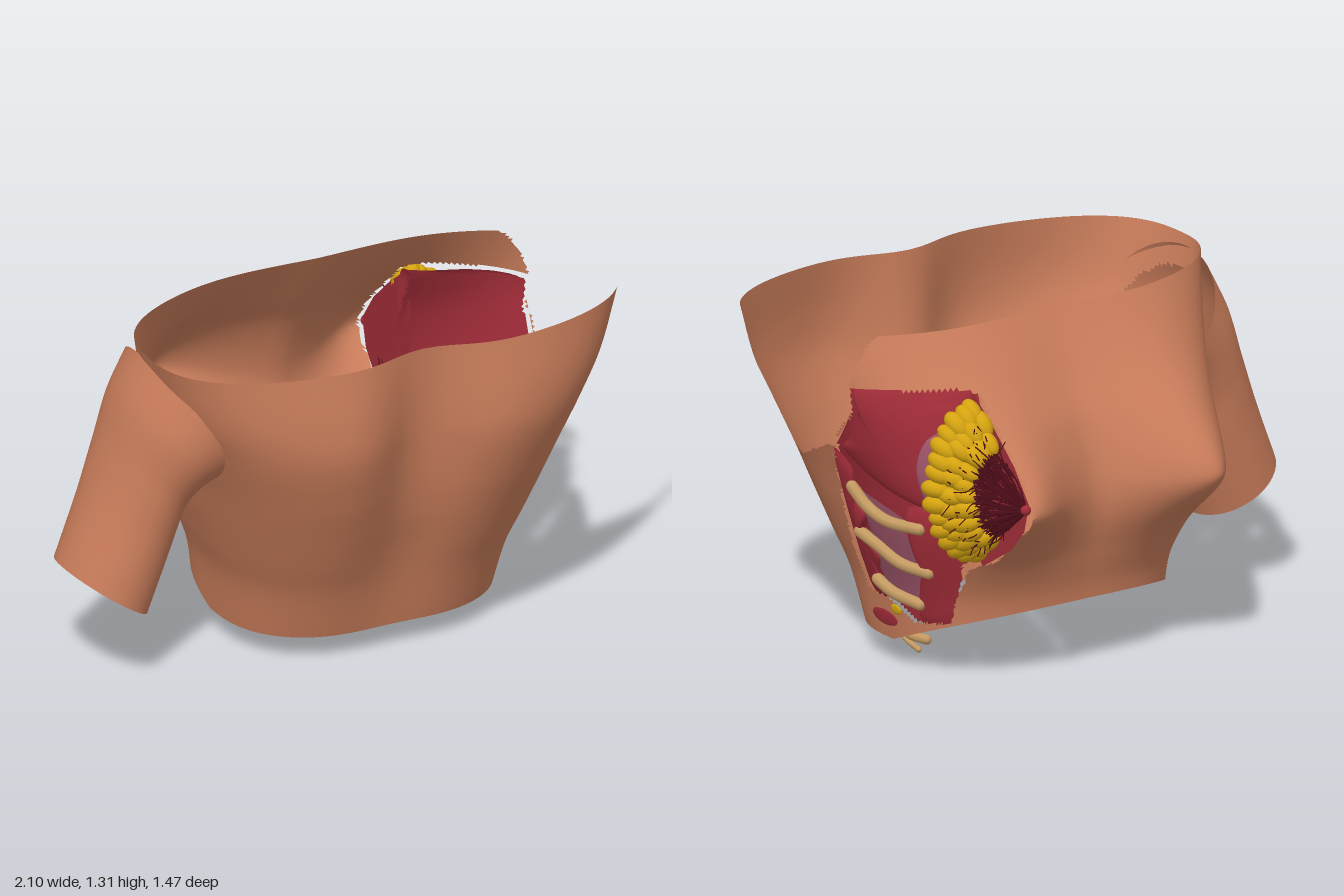
import * as THREE from 'three';
import { mergeGeometries } from 'three/addons/utils/BufferGeometryUtils.js';

const mat = (name, color, side = THREE.FrontSide) => {
  const m = new THREE.MeshStandardMaterial({ color, side });
  m.name = name;
  return m;
};
const V = (x, y, z) => new THREE.Vector3(x, y, z);
const MID = 0.22, TOP = 1.315, N = 2.6;

// Torso levels: y, half width, back z, front z, spine groove depth
const LEVELS = [
  [0.10, 0.54, 0.41, -0.46, 0.02], [0.30, 0.57, 0.49, -0.47, 0.05], [0.45, 0.62, 0.565, -0.50, 0.08],
  [0.60, 0.67, 0.635, -0.52, 0.10], [0.75, 0.715, 0.70, -0.50, 0.13], [0.95, 0.79, 0.76, -0.43, 0.16],
  [1.10, 0.86, 0.755, -0.34, 0.14], [1.32, 0.93, 0.71, -0.21, 0.08],
];

// Smooth lookup of one column at height y
function level(y, c) {
  let i = 0;
  while (i < LEVELS.length - 2 && y > LEVELS[i + 1][0]) i++;
  const L = LEVELS, n = L.length - 1;
  const slope = (k) => {
    const a = L[Math.max(k - 1, 0)], b = L[Math.min(k + 1, n)];
    return (b[c] - a[c]) / (b[0] - a[0]);
  };
  const h = L[i + 1][0] - L[i][0], t = (y - L[i][0]) / h, t2 = t * t, t3 = t2 * t;
  return L[i][c] * (2 * t3 - 3 * t2 + 1) + slope(i) * h * (t3 - 2 * t2 + t)
    + L[i + 1][c] * (3 * t2 - 2 * t3) + slope(i + 1) * h * (t3 - t2);
}

// Point on the torso wall: angle a (0 = back, toward +x), height fraction t
function torsoPoint(a, t, chest, scale) {
  const pw = (v) => Math.sign(v) * Math.pow(Math.abs(v), 2 / N);
  const c = pw(Math.cos(a)), s = pw(Math.sin(a));
  const yLow = 0.1 + 0.17 * Math.max(0, -c), y = yLow + (TOP - yLow) * t;
  const zb = level(y, 2), zf = level(y, 3), d = (zb - zf) / 2;
  const u = level(y, 1) * s * scale;
  let z = (zb + zf) / 2 + d * c * scale;
  if (c > 0) z -= level(y, 4) * Math.exp(-((u / 0.2) ** 2)) * c;
  else if (chest) {
    const dy = y - 0.74, r = Math.hypot(Math.abs(Math.abs(u) - 0.42) / 0.25, dy / (dy > 0 ? 0.33 : 0.2));
    z -= 0.3 * Math.exp(-Math.pow(r, 1.6)) * THREE.MathUtils.smoothstep(-c, 0, 0.7);
  }
  return V(MID + u, y, z);
}

// x of the +x side wall
function sideX(z, y) {
  const zb = level(y, 2), zf = level(y, 3), q = Math.abs(z - (zb + zf) / 2) / ((zb - zf) / 2);
  return Math.max(0.66, MID + level(y, 1) * Math.pow(Math.max(0, 1 - q ** N), 1 / N));
}

function inside(poly, z, y) {
  let hit = false;
  for (let i = 0, j = poly.length - 1; i < poly.length; j = i++) {
    const [a, b] = poly[i], [c, d] = poly[j];
    if ((b > y) !== (d > y) && z < (c - a) * (y - b) / (d - b) + a) hit = !hit;
  }
  return hit;
}

// Outlines in (z, y): open shoulder and dissected side
const SHOULDER = [[0.46, 1.4], [0.48, 1.1], [0.46, 0.85], [0.4, 0.76], [0.33, 0.75], [0.05, 0.87],
  [-0.1, 1.03], [-0.1, 1.13], [-0.14, 1.4]];
const WINDOW = [[0.05, 0.87], [-0.1, 1.02], [-0.1, 1.13], [-0.36, 1.13], [-0.5, 1.04], [-0.8, 0.9], [-0.8, 0.6],
  [-0.62, 0.55], [-0.42, 0.46], [-0.33, 0.32], [-0.3, 0.22], [-0.15, 0.2], [-0.05, 0.26], [0.1, 0.27],
  [0.13, 0.4], [0.1, 0.64], [0.07, 0.8]];

function region(p) {
  if (p.x < MID) return p.x < -0.2 && ((p.z - 0.17) / 0.26) ** 2 + ((p.y - 1.0) / 0.2) ** 2 < 1 ? 'gap' : 'skin';
  if (p.x > 0.6 && inside(SHOULDER, p.z, p.y)) return 'gap';
  return p.x > 0.64 && inside(WINDOW, p.z, p.y) ? 'bed' : 'skin';
}

// Torso wall holding only the faces of one region
function torsoWall(kind) {
  const A = 220, R = 84, pos = [], test = [], idx = [];
  for (let j = 0; j <= R; j++) for (let i = 0; i < A; i++) {
    const a = (i / A) * Math.PI * 2;
    test.push(torsoPoint(a, j / R, true, 1));
    const p = kind === 'skin' ? test[test.length - 1] : torsoPoint(a, j / R, false, 0.965);
    pos.push(p.x, p.y, p.z);
  }
  for (let j = 0; j < R; j++) for (let i = 0; i < A; i++) {
    const k = (i + 1) % A, a = j * A + i, b = j * A + k, c = a + A, d = b + A;
    for (const f of [[a, b, d], [a, d, c]]) {
      const m = V(0, 0, 0);
      f.forEach((v) => m.addScaledVector(test[v], 1 / 3));
      if (region(m) === kind) idx.push(...f);
    }
  }
  return surface(pos, idx);
}

function surface(pos, idx) {
  const g = new THREE.BufferGeometry();
  g.setAttribute('position', new THREE.Float32BufferAttribute(pos, 3));
  g.setIndex(idx);
  g.computeVertexNormals();
  return g;
}

// Open sleeve of the upper arm: matching outer and inner edge points
function armGeometry() {
  const outer = new THREE.CatmullRomCurve3([V(-1, 0.48, 0), V(-0.9, 0.73, 0), V(-0.83, 0.93, 0), V(-0.77, 1.12, 0), V(-0.69, 1.28, 0)]);
  const inner = new THREE.CatmullRomCurve3([V(-0.69, 0.27, 0), V(-0.6, 0.52, 0), V(-0.545, 0.7, 0), V(-0.49, 0.77, 0), V(-0.4, 0.8, 0)]);
  const depth = new THREE.CatmullRomCurve3([V(0.13, 0.22, 0), V(0.13, 0.235, 0), V(0.14, 0.26, 0), V(0.16, 0.3, 0), V(0.17, 0.33, 0)]);
  const A = 48, R = 24, pos = [], idx = [];
  for (let j = 0; j <= R; j++) {
    const o = outer.getPoint(j / R), n = inner.getPoint(j / R), d = depth.getPoint(j / R);
    for (let i = 0; i < A; i++) {
      const a = (i / A) * Math.PI * 2, c = (1 + Math.cos(a)) / 2;
      pos.push(n.x + (o.x - n.x) * c, n.y + (o.y - n.y) * c, d.x + d.y * Math.sin(a));
      if (j < R) {
        const p = j * A + i, q = j * A + (i + 1) % A;
        idx.push(p, p + A, q, q, p + A, q + A);
      }
    }
  }
  return surface(pos, idx);
}

// Domed patch lying on the +x side wall, outlined in (z, y)
function patch(outline, lift, bulge) {
  const curve = new THREE.CatmullRomCurve3(outline.map(([z, y]) => V(0, y, z)), true, 'catmullrom', 0.4);
  const rim = curve.getPoints(60).slice(0, 60), R = 10, pos = [], idx = [];
  const c = rim.reduce((s, p) => s.addScaledVector(p, 1 / 60), V(0, 0, 0));
  for (let j = 0; j <= R; j++) rim.forEach((p, i) => {
    const r = Math.max(j / R, 0.001), y = c.y + (p.y - c.y) * r, z = c.z + (p.z - c.z) * r;
    pos.push(sideX(z, y) + lift + bulge * Math.sqrt(1 - r * r), y, z);
    const a = j * 60 + i, b = j * 60 + (i + 1) % 60;
    if (j < R) idx.push(a, a + 60, b, b, a + 60, b + 60);
  });
  return surface(pos, idx);
}

const oval = (z, y, rz, ry) => Array.from({ length: 8 }, (_, i) =>
  [z + rz * Math.cos(i * Math.PI / 4), y + ry * Math.sin(i * Math.PI / 4)]);

// Rounded bar through points
function bar(points, r) {
  const parts = [new THREE.TubeGeometry(new THREE.CatmullRomCurve3(points), 16, r, 8)];
  for (const p of [points[0], points[points.length - 1]])
    parts.push(new THREE.SphereGeometry(r, 8, 6).translate(p.x, p.y, p.z));
  return mergeGeometries(parts);
}

export function createModel() {
  const D = THREE.DoubleSide;
  const skin = mat('skin', 0xc87c5a, D), red = mat('muscle red', 0xa02c38, D), mauve = mat('fascia mauve', 0x9c5468, D);
  const yellow = mat('fat yellow', 0xd6a410, D), bone = mat('bone tan', 0xc49a62), maroon = mat('duct maroon', 0x4e0c18);
  const model = new THREE.Group();
  const add = (name, geo, m) => {
    const mesh = new THREE.Mesh(geo, m);
    mesh.name = name;
    model.add(mesh);
    return mesh;
  };
  let seed = 7;
  const rnd = () => (seed = (seed * 16807) % 2147483647) / 2147483647;

  add('torsoSkin', torsoWall('skin'), skin);
  add('upperArm', armGeometry(), skin);
  add('muscleBed', torsoWall('bed'), red);

  // Cut face inside the opened chest
  const cut = new THREE.Shape([[0.36, 1.11], [0.5, 1.0], [0.62, 0.89], [0.71, 0.77], [0.68, 0.66], [0.6, 0.57],
    [0.42, 0.46], [0.32, 0.6], [0.32, 1.0]].map(([x, y]) => new THREE.Vector2(x, y)));
  add('cutFace', new THREE.ShapeGeometry(cut).rotateY(Math.PI / 2).translate(0.645, 0, 0), red);

  // Chest muscle, fascia and side muscle strips
  add('chestMuscle', patch([[-0.1, 1.13], [-0.09, 1.03], [-0.02, 0.91], [0.04, 0.85], [-0.06, 0.77], [-0.2, 0.7],
    [-0.36, 0.67], [-0.39, 0.88], [-0.36, 1.12]], -0.03, 0.03), red);
  add('chestFascia', patch(oval(-0.35, 0.83, 0.07, 0.16), -0.005, 0.025), mauve);
  add('rearSideMuscle', patch([[0.08, 0.84], [0, 0.78], [0.02, 0.66], [-0.02, 0.6], [0.03, 0.5], [-0.03, 0.42],
    [0.01, 0.34], [0, 0.26], [0.09, 0.28], [0.09, 0.6]], -0.015, 0.03), red);
  add('frontSideMuscle', patch([[-0.23, 0.67], [-0.34, 0.66], [-0.34, 0.45], [-0.3, 0.22], [-0.18, 0.2], [-0.2, 0.33],
    [-0.26, 0.4], [-0.22, 0.5]], -0.015, 0.03), red);
  add('ribFascia', patch([[0, 0.7], [-0.22, 0.62], [-0.25, 0.5], [-0.21, 0.28], [-0.05, 0.3], [0, 0.4], [-0.02, 0.55]], -0.01, 0.004), mauve);
  add('lowerRedSpot', patch(oval(0.01, 0.18, 0.08, 0.03), 0.004, 0.004), red);
  add('lowerFatSpot', patch(oval(-0.07, 0.23, 0.03, 0.02), 0.006, 0.006), yellow);

  // Ribs on the side wall
  for (const pts of [[[0, 0.71], [-0.06, 0.65], [-0.15, 0.61], [-0.28, 0.6]], [[0.03, 0.52], [-0.06, 0.49], [-0.16, 0.44], [-0.27, 0.42]],
    [[0.01, 0.33], [-0.07, 0.3], [-0.2, 0.28]]])
    add('rib', bar(pts.map(([z, y]) => V(sideX(z, y) + 0.008, y, z)), 0.023), bone);
  // Free rib ends
  add('upperRibEnd', bar([V(0.78, 0.96, 0.17), V(0.81, 0.93, 0.08), V(0.83, 0.89, 0)], 0.022), bone);
  add('lowerRib', bar([V(0.63, 0.1, 0.09), V(0.65, 0.085, 0.02), V(0.63, 0.08, -0.05)], 0.019), bone);
  add('lowestRib', bar([V(0.59, 0.075, 0.19), V(0.61, 0.04, 0.11), V(0.6, 0.012, 0.04)], 0.011), bone);

  // Fat lobules around the base of the opened chest, pointing to the tip
  const tip = V(0.66, 0.755, -0.72), lobules = [];
  const base = (phi, k) => V(0.66 + 0.2 * k * Math.cos(phi), 0.79 + 0.28 * k * Math.sin(phi), -0.42);
  for (let row = 0; row < 4; row++) for (let i = 0; i < 15 - row * 2; i++) {
    const phi = ((i + 0.5) / (15 - row * 2) - 0.5) * Math.PI * 0.98 + (rnd() - 0.5) * 0.1;
    const p = base(phi, row === 3 ? 0.6 : 1).lerp(tip, [0, 0.14, 0.28, 0.05][row] + rnd() * 0.05);
    const g = new THREE.SphereGeometry(0.03 + rnd() * 0.008, 12, 8).scale(1, 1.6, 1);
    g.applyQuaternion(new THREE.Quaternion().setFromUnitVectors(V(0, 1, 0), tip.clone().sub(p).normalize()));
    lobules.push(g.translate(p.x, p.y, p.z));
  }
  add('fatLobules', mergeGeometries(lobules), yellow);

  // Branching ducts that fan out from the tip
  const ducts = [];
  const jitter = (p, s) => p.clone().add(V((rnd() - 0.5) * s, (rnd() - 0.5) * s, (rnd() - 0.5) * s));
  const tube = (pts, r) => ducts.push(new THREE.TubeGeometry(new THREE.CatmullRomCurve3(pts), 6, r, 4));
  for (let i = 0; i < 64; i++) {
    const goal = base((rnd() - 0.5) * Math.PI, 0.8 + rnd() * 0.32);
    const end = tip.clone().lerp(goal, 0.5 + rnd() * 0.3), mid = jitter(tip.clone().lerp(end, 0.55), 0.035);
    tube([tip, mid, end], 0.004);
    for (let k = 0; k < 5; k++) {
      const root = k < 2 ? mid : end, twig = jitter(root.clone().lerp(goal, 0.3), 0.09);
      tube([root, jitter(root.clone().lerp(twig, 0.5), 0.02), twig], 0.0025);
    }
  }
  add('ducts', mergeGeometries(ducts), maroon);
  add('tip', new THREE.SphereGeometry(0.02, 12, 8).translate(tip.x, tip.y, tip.z + 0.01), red);
  return model;
}
